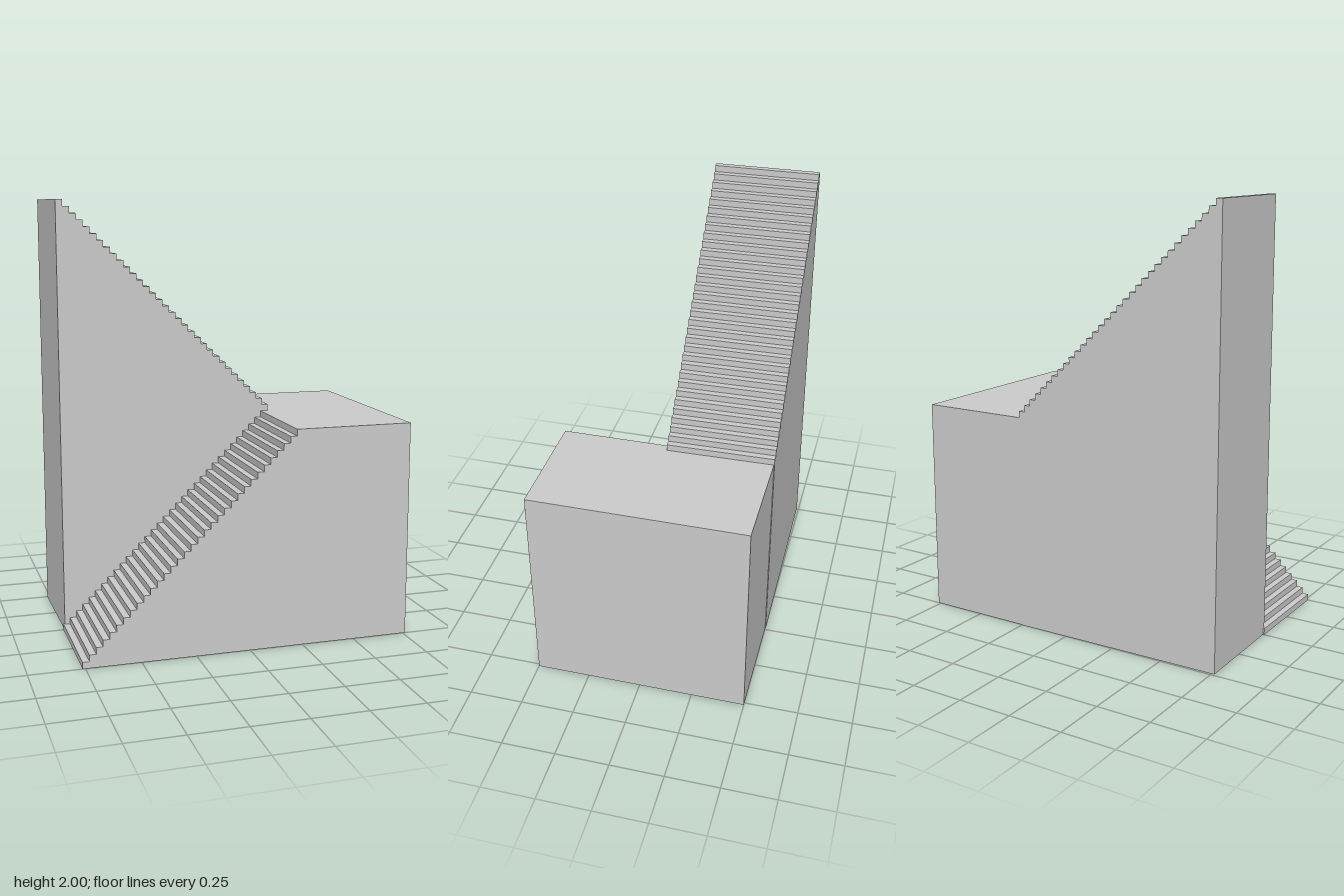
import * as THREE from 'three';

const STEPS = 33, TREAD = 0.0305, RISE = 1 / STEPS, WIDTH = 0.5;

// Solid flight climbing along +x from x = 0, standing on y = 0
function flightGeometry(baseHeight) {
  const shape = new THREE.Shape();
  shape.moveTo(0, 0);
  for (let i = 0; i < STEPS; i++) {
    const y = baseHeight + (i + 1) * RISE;
    shape.lineTo(i * TREAD, y);
    shape.lineTo((i + 1) * TREAD, y);
  }
  shape.lineTo(STEPS * TREAD, 0);
  shape.closePath();
  return new THREE.ExtrudeGeometry(shape, { depth: WIDTH, bevelEnabled: false });
}

export function createModel() {
  const model = new THREE.Group();
  model.name = 'staircase';
  const material = new THREE.MeshStandardMaterial({ color: 0xcccccc, flatShading: true });
  const add = (name, geometry) => {
    const mesh = new THREE.Mesh(geometry, material);
    mesh.name = name;
    model.add(mesh);
    return mesh;
  };

  // Lower flight rises from the left edge to the landing
  add('lowerFlight', flightGeometry(0)).position.set(-0.7625, 0, 0);

  // Full-depth landing block
  const landingStart = -0.7625 + STEPS * TREAD;
  const landingLength = 0.7625 - landingStart;
  add('landing', new THREE.BoxGeometry(landingLength, 1, 2 * WIDTH))
    .position.set(landingStart + landingLength / 2, 0.5, 0);

  // Upper flight doubles back behind, turned very slightly out of line
  const upper = add('upperFlight', flightGeometry(1));
  upper.position.set(0.25, 0, -0.003);
  upper.rotation.y = Math.PI + 0.0131;

  return model;
}
